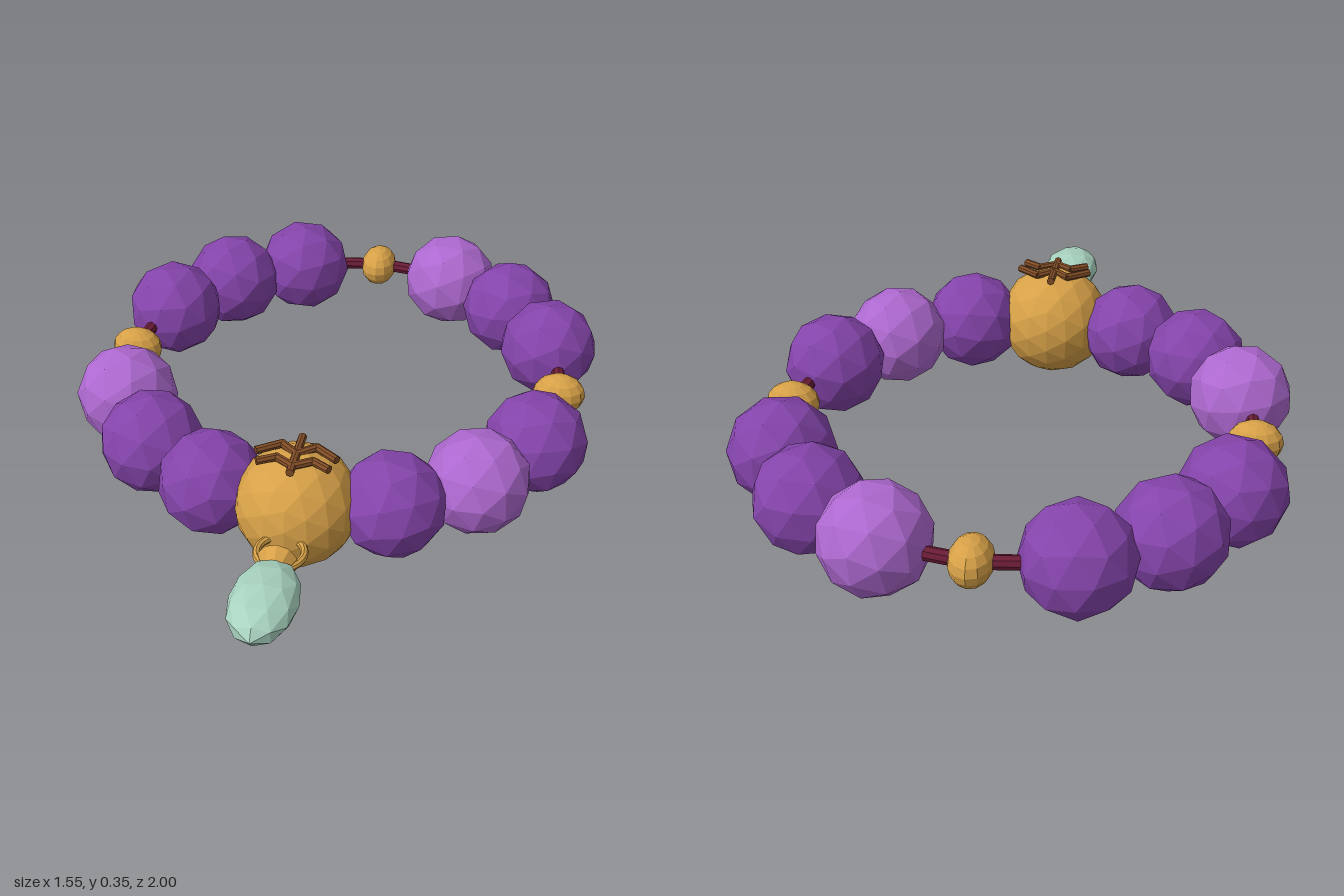
import * as THREE from 'three';

const Y = 0.17, RING_Z = -0.22, RING_R = 0.675;

const mat = (color) => new THREE.MeshStandardMaterial({ color, flatShading: true });

export function createModel() {
  const model = new THREE.Group();
  const purple = mat(0x8444aa), lilac = mat(0xad68cf), gold = mat(0xd6a047);
  const brown = mat(0x804c26), red = mat(0x6a1c36), jade = mat(0xa8d2bf);

  const add = (name, geometry, material, x, y, z, parent = model) => {
    const mesh = new THREE.Mesh(geometry, material);
    mesh.name = name;
    mesh.position.set(x, y, z);
    parent.add(mesh);
    return mesh;
  };

  // Elastic cord
  add('cord', new THREE.TorusGeometry(RING_R, 0.02, 8, 64), red, 0, Y, RING_Z).rotation.x = Math.PI / 2;

  // Sixteen stations round the cord; 0 is the large front bead
  const beadGeo = new THREE.IcosahedronGeometry(0.154, 1);
  const spacerGeo = new THREE.SphereGeometry(1, 12, 8);
  const lightBeads = [2, 7, 13];
  for (let i = 1; i < 16; i++) {
    const a = i * Math.PI / 8;
    const x = RING_R * Math.sin(a), z = RING_Z + RING_R * Math.cos(a);
    if (i % 4 === 0) {
      // Small spacer, flattened along the cord
      const spacer = add('spacerBead', spacerGeo, gold, x, Y, z);
      spacer.scale.set(0.06, 0.065, 0.08);
      spacer.rotation.y = a;
    } else {
      const bead = add('bead', beadGeo, lightBeads.includes(i) ? lilac : purple, x, Y, z);
      bead.rotation.set(i * 0.7, i * 1.3, i * 0.4);
    }
  }

  // Large front bead
  add('frontBead', new THREE.IcosahedronGeometry(0.175, 2), gold, 0, Y, 0.455);

  // Twig emblem lying on the front bead: stem and two pairs of bent branches
  const emblem = new THREE.Group();
  emblem.name = 'emblem';
  model.add(emblem);
  const rod = (name, x1, z1, x2, z2) => {
    const dx = x2 - x1, dz = z2 - z1;
    const geo = new THREE.CylinderGeometry(0.012, 0.012, Math.hypot(dx, dz), 8);
    const mesh = add(name, geo, brown, (x1 + x2) / 2, 0.341, (z1 + z2) / 2, emblem);
    mesh.quaternion.setFromUnitVectors(new THREE.Vector3(0, 1, 0), new THREE.Vector3(dx, 0, dz).normalize());
  };
  rod('stem', 0, 0.372, 0, 0.537);
  for (const s of [-1, 1]) {
    rod('upperBranch', 0, 0.452, s * 0.05, 0.412);
    rod('upperBranchTip', s * 0.046, 0.412, s * 0.112, 0.458);
    rod('lowerBranch', 0, 0.506, s * 0.052, 0.474);
    rod('lowerBranchTip', s * 0.048, 0.474, s * 0.1, 0.504);
  }

  // Pendant: jump ring, cone cap and stretched faceted drop
  const pendant = new THREE.Group();
  pendant.name = 'pendant';
  model.add(pendant);
  add('jumpRing', new THREE.TorusGeometry(0.064, 0.011, 8, 24), gold, 0, Y, 0.662, pendant).rotation.x = Math.PI / 2;
  add('cap', new THREE.ConeGeometry(0.056, 0.1, 10), gold, 0, Y, 0.745, pendant).rotation.x = Math.PI / 2;
  add('drop', new THREE.IcosahedronGeometry(1, 1), jade, 0, Y, 0.85, pendant).scale.set(0.093, 0.058, 0.153);

  return model;
}
